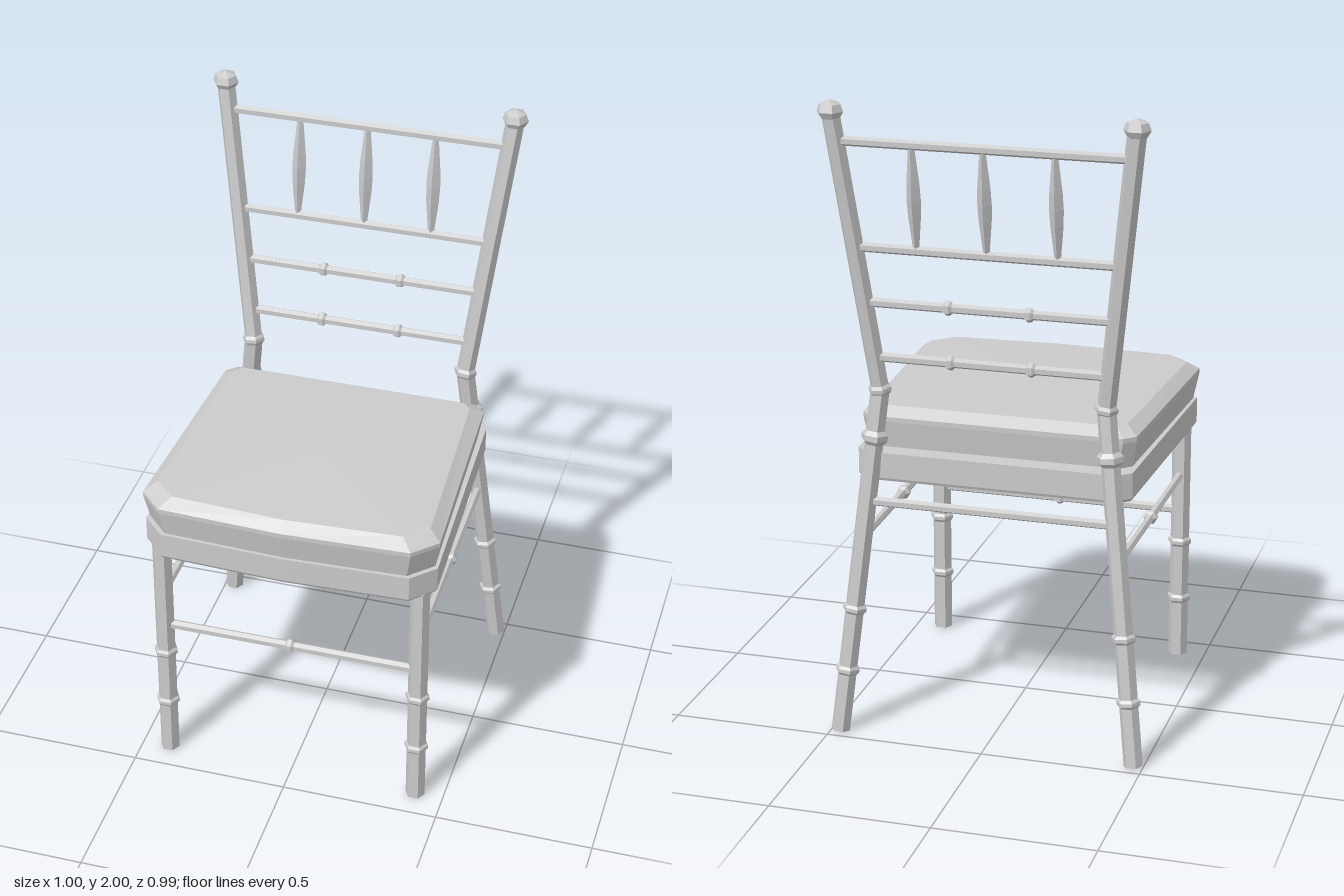
import * as THREE from 'three';

const paint = new THREE.MeshStandardMaterial({ color: 0xcccccc });
paint.name = 'grey paint';

const v = (x, y, z) => new THREE.Vector3(x, y, z);

// Flat-faced mesh
function facet(geometry, name) {
  const g = geometry.index ? geometry.toNonIndexed() : geometry;
  g.computeVertexNormals();
  const mesh = new THREE.Mesh(g, paint);
  mesh.name = name;
  return mesh;
}

// Turned piece from a to b; rings are [position 0..1, bulge radius, half length]
function turned(name, a, b, radius, rings = [], sides = 6, twist = Math.PI / 6) {
  const length = a.distanceTo(b);
  const pts = [[0, 0], [radius, 0]];
  for (const [t, r, h] of rings) {
    const c = t * length;
    pts.push([radius, c - h], [r, c - h * 0.4], [r, c + h * 0.4], [radius, c + h]);
  }
  pts.push([radius, length], [0, length]);
  return place(name, pts, a, b, sides, twist);
}

// Lathe a profile and stand it along the line a-b
function place(name, pts, a, b, sides, twist) {
  const g = new THREE.LatheGeometry(pts.map(p => new THREE.Vector2(...p)), sides);
  g.rotateY(twist);
  const mesh = facet(g, name);
  mesh.position.copy(a);
  mesh.quaternion.setFromUnitVectors(v(0, 1, 0), b.clone().sub(a).normalize());
  return mesh;
}

// Loft mirrored half outlines; layers are { y, half: [[x, z], ...] } from bottom to top
function loft(name, layers, crownY) {
  const loops = layers.map(({ y, half }) => [
    ...half.map(([x, z]) => v(x, y, z)),
    ...half.slice(1).reverse().map(([x, z]) => v(-x, y, z)),
  ]);
  const n = loops[0].length, tris = [];
  const top = loops[loops.length - 1], base = loops[0];
  for (let i = 0; i < n; i++) {
    const j = (i + 1) % n;
    for (let k = 0; k < loops.length - 1; k++) {
      const lo = loops[k], up = loops[k + 1];
      tris.push(lo[i], lo[j], up[j], lo[i], up[j], up[i]);
    }
    tris.push(top[i], top[j], v(0, crownY, 0.09));
    tris.push(base[j], base[i], v(0, layers[0].y, 0.09));
  }
  return facet(new THREE.BufferGeometry().setFromPoints(tris), name);
}

export function createModel() {
  const chair = new THREE.Group();
  chair.name = 'chair';

  // Seat frame with clipped corners
  const frame = [[0, 0.487], [0.39, 0.472], [0.46, 0.4], [0.43, -0.35], [0.39, -0.385]];
  const frameLow = frame.map(([x, z]) => [x * 0.99, z * 0.99]);
  chair.add(loft('seatFrame', [
    { y: 0.813, half: frameLow }, { y: 0.822, half: frame }, { y: 0.902, half: frame },
  ], 0.902));

  // Cushion: flared sides, bevelled edge, crowned top
  const wide = [[0, 0.492], [0.393, 0.476], [0.465, 0.403], [0.43, -0.3], [0.395, -0.333]];
  const under = wide.map(([x, z]) => [x * 0.965, z * 0.968]);
  const inner = [[0, 0.455], [0.36, 0.436], [0.428, 0.374], [0.392, -0.267], [0.365, -0.295]];
  chair.add(loft('cushion', [
    { y: 0.9, half: under }, { y: 0.985, half: wide },
    { y: 1.0, half: wide }, { y: 1.026, half: inner },
  ], 1.037));

  for (const s of [1, -1]) {
    // Front leg
    chair.add(turned('frontLeg', v(s * 0.41, 0, 0.41), v(s * 0.41, 0.82, 0.41), 0.031,
      [[0.2 / 0.82, 0.038, 0.014], [0.4 / 0.82, 0.038, 0.014]]));

    // Splayed back leg and the post above it
    const foot = v(s * 0.47, 0, -0.457), bend = v(s * 0.352, 1.1, -0.364);
    const head = v(s * 0.457, 1.965, -0.459);
    chair.add(turned('backLeg', foot, bend, 0.03,
      [[0.2 / 1.1, 0.038, 0.014], [0.4 / 1.1, 0.038, 0.014], [0.95 / 1.1, 0.042, 0.022]]));
    chair.add(turned('backPost', bend, head, 0.029));
    chair.add(place('postCollar', [[0, -0.016], [0.029, -0.016], [0.036, -0.006],
      [0.036, 0.006], [0.029, 0.016], [0, 0.016]], bend, head, 6, Math.PI / 6));
    chair.add(place('postKnob', [[0, -0.02], [0.029, -0.02], [0.041, 0], [0.033, 0.022], [0, 0.035]],
      head, head.clone().add(v(0, 1, 0)), 6, Math.PI / 6));

    // Side stretcher
    chair.add(turned('sideStretcher', v(s * 0.41, 0.632, 0.4), v(s * 0.402, 0.632, -0.4), 0.014,
      [[0.5, 0.023, 0.016]]));
  }

  // Front and back stretchers
  chair.add(turned('frontStretcher', v(-0.4, 0.508, 0.41), v(0.4, 0.508, 0.41), 0.015,
    [[0.5, 0.023, 0.014]]));
  chair.add(turned('backStretcher', v(-0.385, 0.748, -0.394), v(0.385, 0.748, -0.394), 0.015));

  // Back rails follow the lean and spread of the posts
  const lean = y => -0.364 - (y - 1.1) * 0.11;
  const spread = y => 0.352 + (y - 1.1) * 0.121;
  for (const [y, beaded] of [[1.205, true], [1.38, true], [1.553, false], [1.878, false]]) {
    const w = spread(y) - 0.01;
    const beads = [-0.125, 0.125].map(x => [0.5 + x / (2 * w), 0.023, 0.014]);
    chair.add(turned('backRail', v(-w, y, lean(y)), v(w, y, lean(y)), 0.015, beaded ? beads : []));
  }

  // Swelling four-sided spindles
  for (const x of [-0.215, 0, 0.215]) {
    chair.add(place('spindle', [[0.009, 0], [0.02, 0.11], [0.022, 0.16], [0.02, 0.21], [0.009, 0.325]],
      v(x, 1.553, lean(1.553)), v(x, 1.878, lean(1.878)), 4, 0));
  }
  return chair;
}
